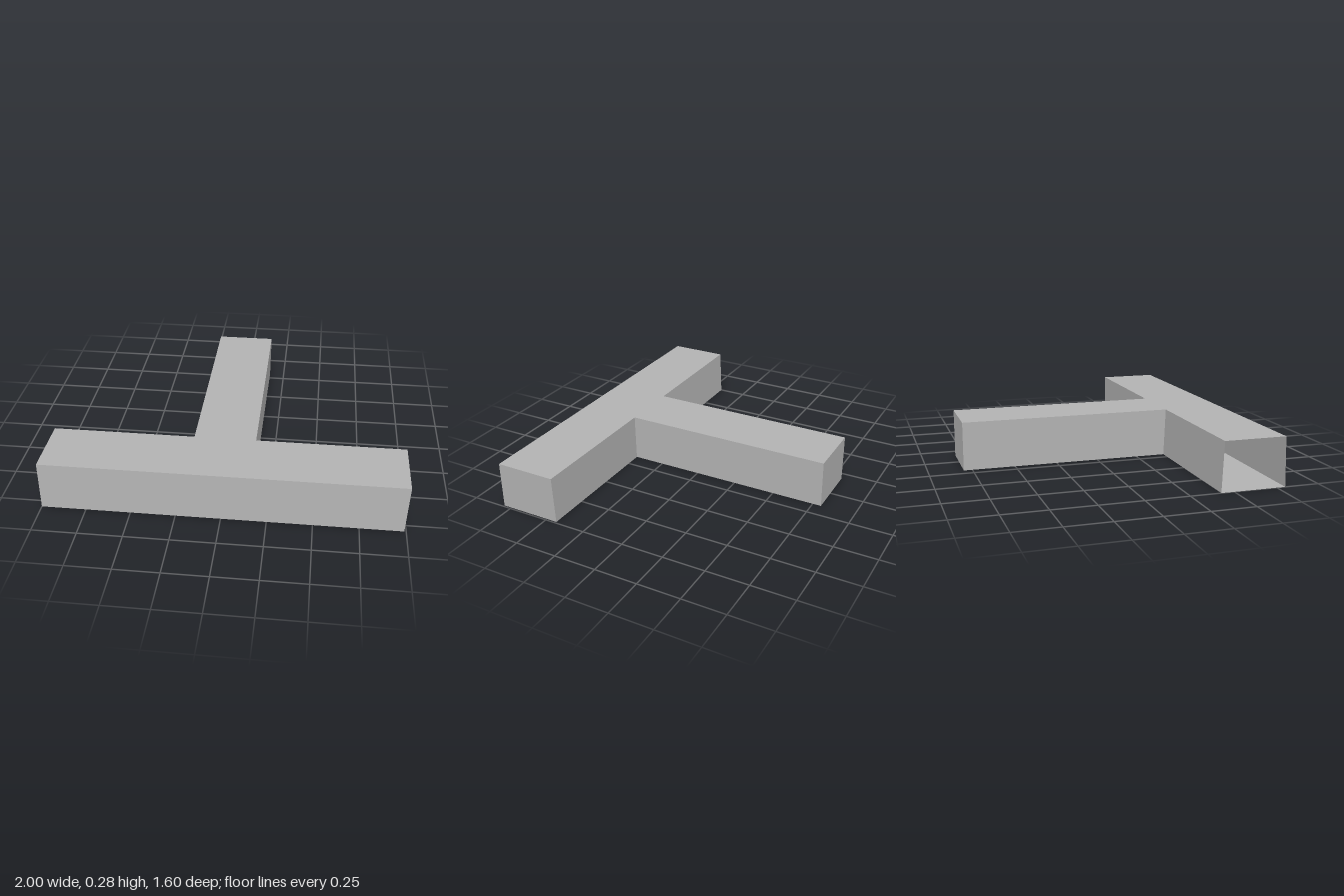
import * as THREE from 'three';

const H = 0.28, SEAM = 0.095;

// Plan outline of the T as [x, z], starting at the front of the open left-hand end
const roofPlan = [[-1, 0.79], [1, 0.79], [1, 0.435], [0.16, 0.435], [0.16, -0.8], [-0.19, -0.8], [-0.19, 0.435], [-1, 0.435]];
const floorPlan = [[-1, 0.8], [0.99, 0.8], [0.99, 0.435], [0.155, 0.435], [0.155, -0.8], [-0.19, -0.8], [-0.19, 0.425], [-1, 0.425]];

// Flat horizontal sheet, facing up or down
function sheet(plan, y, up, material, name) {
  const shape = new THREE.Shape(plan.map(([x, z]) => new THREE.Vector2(x, up ? -z : z)));
  const geometry = new THREE.ShapeGeometry(shape).rotateX(up ? -Math.PI / 2 : Math.PI / 2);
  geometry.translate(0, y, 0);
  const mesh = new THREE.Mesh(geometry, material);
  mesh.name = name;
  return mesh;
}

// Upright panel between two plan points, from y0 up to y1, outward face in front
function panel(a0, b0, y0, a1, b1, y1, material, name) {
  const geometry = new THREE.BufferGeometry();
  const p = [[a0[0], y0, a0[1]], [b0[0], y0, b0[1]], [b1[0], y1, b1[1]], [a1[0], y1, a1[1]]];
  geometry.setAttribute('position', new THREE.Float32BufferAttribute(p.flat(), 3));
  geometry.setIndex([0, 1, 2, 0, 2, 3]);
  geometry.computeVertexNormals();
  const mesh = new THREE.Mesh(geometry, material);
  mesh.name = name;
  return mesh;
}

export function createModel() {
  const group = new THREE.Group();
  group.name = 'teeDuct';
  const grey = new THREE.MeshStandardMaterial({ color: 0xb3b3b3, side: THREE.DoubleSide });
  grey.name = 'grey';

  group.add(sheet(roofPlan, H, true, grey, 'roof'));
  group.add(sheet(floorPlan, 0, false, grey, 'floor'));

  // Walls in two courses meeting at the seam; the last side stays open
  const names = ['frontWall', 'endWall', 'backWallLeft', 'stemWallLeft', 'stemEndWall', 'stemWallRight', 'backWallRight'];
  const seamPlan = floorPlan.map(([x, z], i) => {
    const t = SEAM / H;
    return [x + (roofPlan[i][0] - x) * t, z + (roofPlan[i][1] - z) * t];
  });
  names.forEach((name, i) => {
    const wall = new THREE.Group();
    wall.name = name;
    wall.add(panel(floorPlan[i], floorPlan[i + 1], 0, seamPlan[i], seamPlan[i + 1], SEAM, grey, 'lowerCourse'));
    wall.add(panel(seamPlan[i], seamPlan[i + 1], SEAM, roofPlan[i], roofPlan[i + 1], H, grey, 'upperCourse'));
    group.add(wall);
  });
  return group;
}
